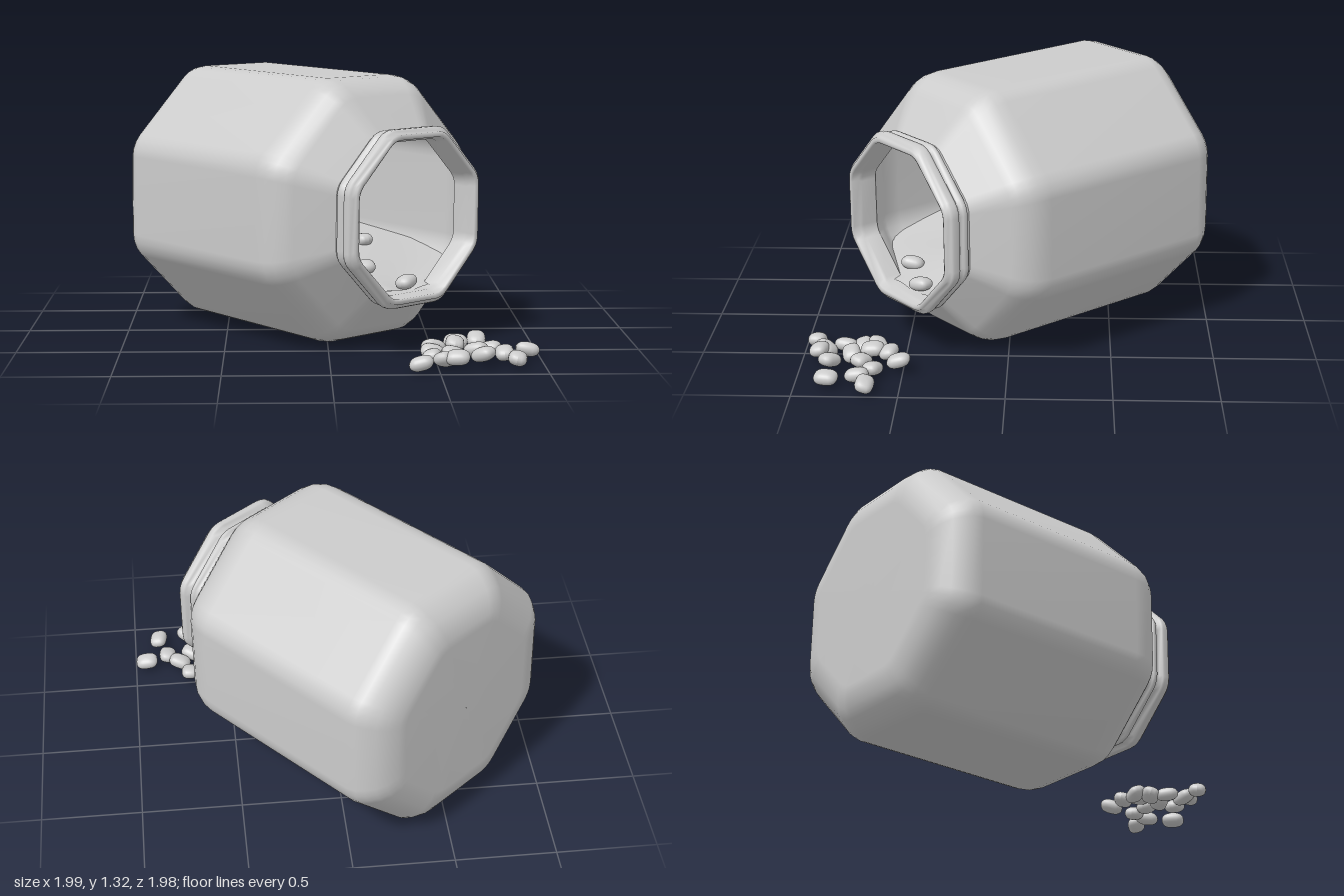
import * as THREE from 'three';

const material = new THREE.MeshStandardMaterial({ color: 0xcccccc, side: THREE.DoubleSide });

// Unit octagon (apothem 1, flat faces up and sideways) with rounded corners.
function octagonRing() {
  const fillet = 0.25, steps = 3, ring = [];
  const reach = (1 - fillet) / Math.cos(Math.PI / 8);
  for (let k = 0; k < 8; k++) {
    const mid = (k + 0.5) * Math.PI / 4;
    for (let s = 0; s <= steps; s++) {
      const t = mid + (s / steps - 0.5) * Math.PI / 4;
      ring.push([reach * Math.cos(mid) + fillet * Math.cos(t), reach * Math.sin(mid) + fillet * Math.sin(t)]);
    }
  }
  return ring;
}
const RING = octagonRing();

// Sweeps the octagon along z through [radius, z] pairs.
function loft(name, profile) {
  const n = RING.length, pos = [], idx = [];
  for (const [r, z] of profile) for (const [x, y] of RING) pos.push(x * r, y * r, z);
  for (let i = 0; i < profile.length - 1; i++) {
    for (let j = 0; j < n; j++) {
      const a = i * n + j, b = i * n + (j + 1) % n;
      idx.push(a, b, a + n, b, b + n, a + n);
    }
  }
  const g = new THREE.BufferGeometry();
  g.setAttribute('position', new THREE.Float32BufferAttribute(pos, 3));
  g.setIndex(idx);
  g.computeVertexNormals();
  const mesh = new THREE.Mesh(g, material);
  mesh.name = name;
  return mesh;
}

// Linear lookup in [value, z] pairs sorted by z.
function lookup(table, z) {
  for (let i = 1; i < table.length; i++) {
    const [v0, z0] = table[i - 1], [v1, z1] = table[i];
    if (z <= z1) return v0 + (v1 - v0) * Math.max(0, (z - z0) / (z1 - z0));
  }
  return table[table.length - 1][0];
}

const BODY = [[0.001, -0.878], [0.43, -0.878], [0.475, -0.873], [0.53, -0.855], [0.575, -0.825], [0.61, -0.785],
  [0.635, -0.745], [0.645, -0.70], [0.645, 0.25], [0.638, 0.31], [0.62, 0.36], [0.59, 0.405], [0.56, 0.432], [0.405, 0.555]];
const RIM = [[0.405, 0.55], [0.402, 0.567], [0.417, 0.573], [0.42, 0.585], [0.417, 0.598], [0.407, 0.605], [0.407, 0.62],
  [0.425, 0.628], [0.428, 0.64], [0.428, 0.662], [0.422, 0.673], [0.408, 0.678], [0.405, 0.69], [0.39, 0.694],
  [0.38, 0.688], [0.378, 0.65], [0.366, 0.64], [0.366, 0.56]];
const INSIDE = [[0.001, -0.85], [0.44, -0.85], [0.53, -0.825], [0.59, -0.77], [0.62, -0.70],
  [0.62, 0.25], [0.60, 0.35], [0.56, 0.40], [0.366, 0.56], [0.366, 0.64]];
const LEVEL = [[-0.19, -0.85], [-0.23, -0.3], [-0.25, 0], [-0.30, 0.3], [-0.335, 0.5], [-0.357, 0.62]];

// Sloping top of the heap that fills the lower part of the jar.
function heapSurface() {
  const nz = 36, nx = 20;
  const g = new THREE.PlaneGeometry(1, 1, nx, nz);
  const p = g.attributes.position;
  for (let i = 0; i < p.count; i++) {
    const u = p.getX(i) * 2, z = -0.84 + (0.5 - p.getY(i)) * 1.45;
    const y = lookup(LEVEL, z), r = lookup(INSIDE, z);
    const half = Math.max(0.01, Math.min(r, Math.SQRT2 * r + y));
    const wave = 0.012 * Math.sin(7 * z + 3 * u) * (1 - u * u);
    p.setXYZ(i, u * half, y + wave, z);
  }
  g.computeVertexNormals();
  const mesh = new THREE.Mesh(g, material);
  mesh.name = 'heapSurface';
  return mesh;
}

// Plump tablet with a squarish outline.
function pillGeometry() {
  const g = new THREE.SphereGeometry(1, 20, 14);
  const p = g.attributes.position;
  const swell = (v, e) => Math.sign(v) * Math.abs(v) ** e;
  for (let i = 0; i < p.count; i++) {
    const x = p.getX(i), y = p.getY(i), z = p.getZ(i);
    const flat = Math.hypot(x, z) || 1;
    const side = flat ** 0.8;
    p.setXYZ(i, 0.058 * swell(x / flat, 0.7) * side, 0.034 * y, 0.045 * swell(z / flat, 0.7) * side);
  }
  g.computeVertexNormals();
  return g;
}

export function createModel() {
  const model = new THREE.Group();
  model.name = 'spilledJar';
  const pill = pillGeometry();
  const addPill = (parent, name, x, y, z, turn, tilt, roll) => {
    const mesh = new THREE.Mesh(pill, material);
    mesh.name = name;
    mesh.position.set(x, y, z);
    mesh.rotation.set(tilt, turn, roll, 'YXZ');
    parent.add(mesh);
  };

  // Jar lying on its side, mouth towards the front left
  const jar = new THREE.Group();
  jar.name = 'jar';
  jar.position.set(-0.015, 0.67, 0.013);
  jar.rotation.set(0.013, THREE.MathUtils.degToRad(40), 0, 'YXZ');
  jar.add(loft('jarBody', BODY), loft('threadedRim', RIM), loft('jarInside', [...INSIDE].reverse()), heapSurface());
  model.add(jar);

  // Pills resting on the heap: x, z, turn
  [[-0.02, -0.4, 0.9], [-0.16, -0.25, 0.2], [-0.27, -0.32, 1.3], [0.27, 0, 1.5], [-0.03, 0.34, -0.5],
    [-0.19, 0.47, 0.7], [0.03, 0.58, 0.3]].forEach(([x, z, turn], i) =>
    addPill(jar, 'pillInside', x, lookup(LEVEL, z) + 0.022, z, turn, 0.25 * Math.sin(i * 2), 0.2 * Math.cos(i * 3)));

  // Pills spilled on the ground: x, y, z, turn
  [[0.71, 0.07, 0.52, 1.5], [0.605, 0.07, 0.575, -0.2], [0.495, 0.06, 0.635, 0.5], [0.595, 0.08, 0.655, 1.5],
    [0.76, 0.05, 0.64, -0.3], [0.94, 0.05, 0.66, -0.05], [0.485, 0.05, 0.71, 0], [0.69, 0.06, 0.70, -0.5],
    [0.825, 0.045, 0.71, 1.5], [0.58, 0.05, 0.76, 0.1], [0.475, 0.05, 0.795, 1.4], [0.71, 0.07, 0.85, -0.6],
    [0.87, 0.05, 0.85, 1.4], [0.53, 0.055, 0.885, 0.9], [0.585, 0.07, 0.915, -0.15], [0.415, 0.05, 0.945, -0.1]
  ].forEach(([x, y, z, turn], i) =>
    addPill(model, 'spilledPill', x, y, z, turn, 0.35 * Math.sin(i * 2.3), 0.3 * Math.cos(i * 1.7)));

  return model;
}
